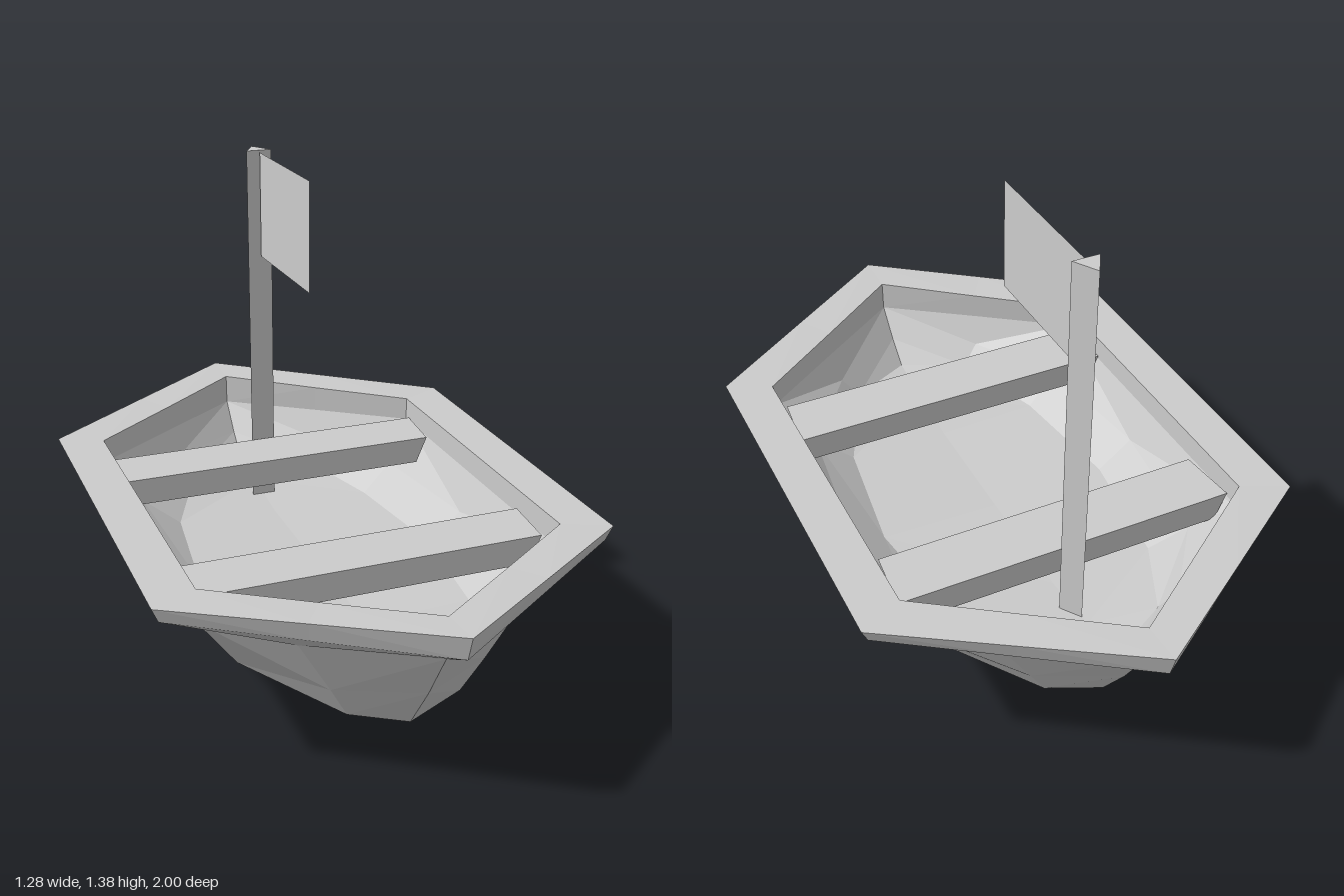
import * as THREE from 'three';

const material = () =>
  new THREE.MeshStandardMaterial({ color: 0xcccccc, flatShading: true, side: THREE.DoubleSide });

// Each row lists [x, y, z] at four stations: midship, shoulder, cheek, tip (one quarter of the boat).
const hullRows = [
  [[0, 0, 0], [0, 0.035, 0.43], [0, 0.12, 0.68], [0, 0.12, 0.68]],
  [[0.24, 0.12, 0], [0.205, 0.135, 0.43], [0.16, 0.155, 0.64], [0, 0.12, 0.68]],
  [[0.45, 0.235, 0], [0.385, 0.237, 0.43], [0.215, 0.255, 0.665], [0, 0.265, 0.78]],
  [[0.565, 0.415, 0], [0.51, 0.42, 0.5], [0.31, 0.418, 0.69], [0, 0.415, 0.87]],
];
const rimRows = [
  hullRows[3],
  [[0.62, 0.475, 0], [0.62, 0.475, 0.56], [0.31, 0.475, 0.77], [0, 0.475, 0.98]],
  [[0.638, 0.517, 0], [0.638, 0.517, 0.567], [0.319, 0.53, 0.784], [0, 0.543, 1]],
  [[0.51, 0.517, 0], [0.51, 0.517, 0.505], [0.255, 0.525, 0.69], [0, 0.535, 0.875]],
  [[0.51, 0.445, 0], [0.51, 0.445, 0.505], [0.255, 0.445, 0.69], [0, 0.445, 0.872]],
];
const innerRows = [
  rimRows[4],
  [[0.465, 0.335, 0], [0.415, 0.335, 0.42], [0.24, 0.36, 0.65], [0, 0.36, 0.8]],
  [[0.36, 0.255, 0], [0.31, 0.26, 0.38], [0.19, 0.3, 0.63], [0, 0.295, 0.73]],
  [[0, 0.245, 0], [0, 0.25, 0.38], [0, 0.275, 0.58], [0, 0.295, 0.73]],
];

// Skins the rows of one quarter and mirrors them across x and z.
// fold is 1 to crease each quad outward along its normal, -1 to crease it inward.
function quarterLoft(rows, fold) {
  const quarter = [];
  for (let r = 0; r < rows.length - 1; r++) {
    for (let s = 0; s < 3; s++) {
      const [a, b, c, d] = [rows[r][s], rows[r + 1][s], rows[r + 1][s + 1], rows[r][s + 1]]
        .map((p) => new THREE.Vector3(...p));
      const normal = b.clone().sub(a).cross(c.clone().sub(a));
      const height = normal.dot(d.clone().sub(a)) * fold;
      quarter.push(...(height <= 0 ? [[a, b, c], [a, c, d]] : [[a, b, d], [b, c, d]]));
    }
  }
  const points = [];
  for (const sx of [1, -1]) for (const sz of [1, -1]) {
    for (const [a, b, c] of quarter) {
      for (const p of sx * sz > 0 ? [a, b, c] : [a, c, b]) {
        points.push(new THREE.Vector3(p.x * sx, p.y, p.z * sz));
      }
    }
  }
  const geometry = new THREE.BufferGeometry().setFromPoints(points);
  geometry.computeVertexNormals();
  return geometry;
}

// Board whose ends narrow toward the bow and toward the underside.
function boardGeometry() {
  const geometry = new THREE.BoxGeometry(2, 0.08, 0.176);
  const p = geometry.attributes.position;
  for (let i = 0; i < p.count; i++) {
    const half = (p.getZ(i) < 0 ? 0.502 : 0.485) * (p.getY(i) < 0 ? 0.93 : 1);
    p.setX(i, Math.sign(p.getX(i)) * half);
  }
  geometry.computeVertexNormals();
  return geometry;
}

export function createModel() {
  const boat = new THREE.Group();
  boat.name = 'boat';
  const add = (name, geometry, x = 0, y = 0, z = 0) => {
    const mesh = new THREE.Mesh(geometry, material());
    mesh.name = name;
    mesh.position.set(x, y, z);
    boat.add(mesh);
    return mesh;
  };

  // Faceted shell
  add('hull', quarterLoft(hullRows, 1));
  add('rim', quarterLoft(rimRows, 1));
  add('hullInside', quarterLoft(innerRows, -1));

  // Bench boards across the hull
  for (const [name, z] of [['frontSeat', 0.368], ['backSeat', -0.378]]) {
    add(name, boardGeometry(), 0, 0.425, z);
  }

  // Three-sided mast with its point to the stern
  const bottom = 0.265, top = 1.38;
  const mast = add('mast', new THREE.CylinderGeometry(0.044, 0.042, top - bottom, 3),
    0, (top + bottom) / 2, -0.506);
  mast.rotation.y = Math.PI;

  // Thin flag along the centre line
  const flag = add('flag', new THREE.PlaneGeometry(0.42, 0.315), 0, 1.217, -0.265);
  flag.rotation.y = Math.PI / 2;

  return boat;
}
